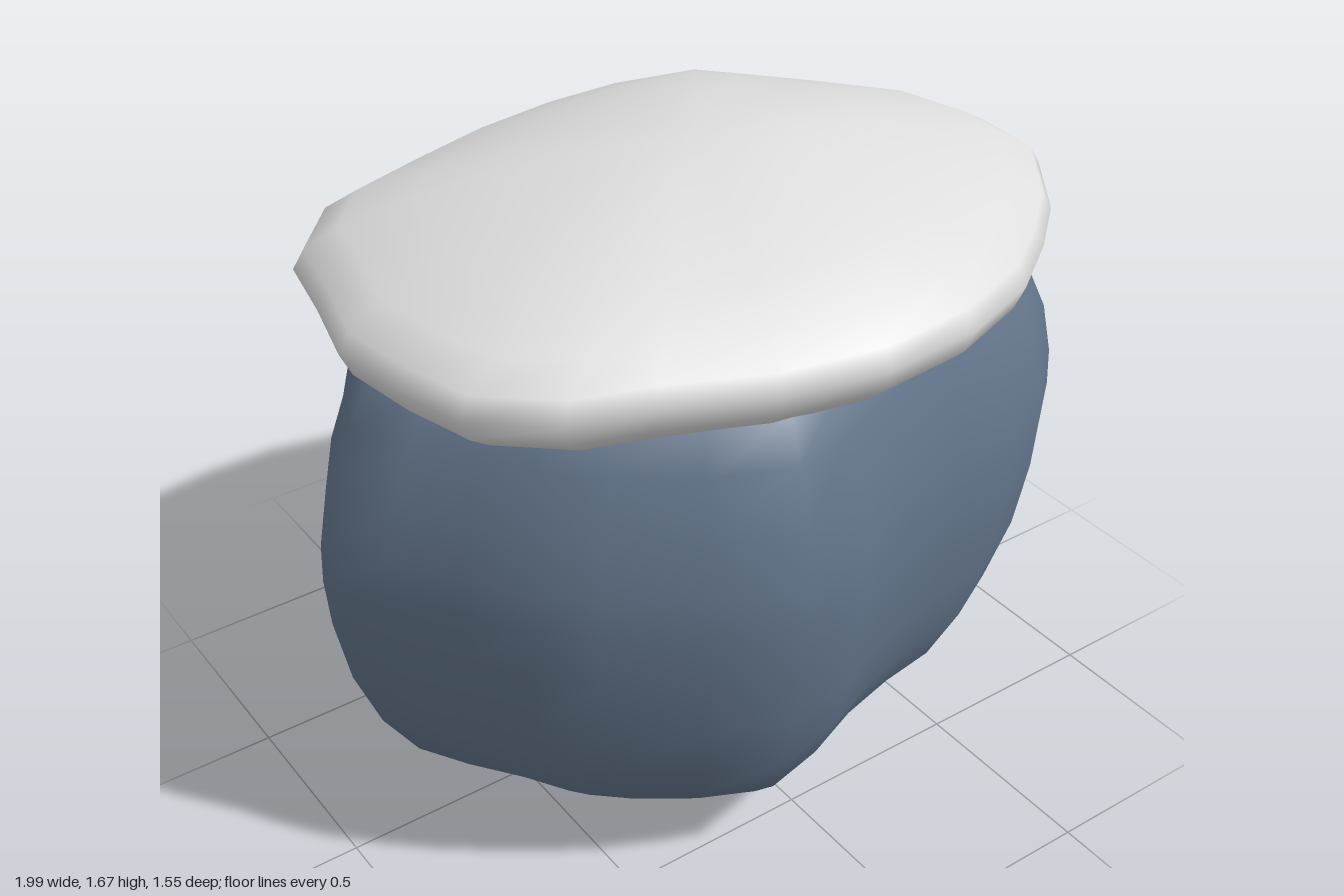
import * as THREE from 'three';

// Closed rounded solid: a plan outline [x, z] scaled by each profile step [scale, y], bottom to top
function loft(outline, profile, centreX) {
  const n = outline.length, last = profile.length - 1;
  const positions = [], index = [];
  const ring = (i) => 1 + (i - 1) * n;

  positions.push(centreX, profile[0][1], 0);
  for (let i = 1; i < last; i++) {
    const [s, y] = profile[i];
    for (const [x, z] of outline) positions.push(centreX + (x - centreX) * s, y, z * s);
  }
  const top = positions.length / 3;
  positions.push(centreX, profile[last][1], 0);

  for (let j = 0; j < n; j++) {
    const k = (j + 1) % n;
    index.push(0, ring(1) + j, ring(1) + k);
    for (let i = 1; i < last - 1; i++) {
      const a = ring(i) + j, b = ring(i) + k, c = ring(i + 1) + j, d = ring(i + 1) + k;
      index.push(a, c, b, b, c, d);
    }
    index.push(ring(last - 1) + j, top, ring(last - 1) + k);
  }
  const geometry = new THREE.BufferGeometry();
  geometry.setAttribute('position', new THREE.Float32BufferAttribute(positions, 3));
  geometry.setIndex(index);
  geometry.computeVertexNormals();
  return geometry;
}

export function createModel() {
  const group = new THREE.Group();
  group.name = 'snowCappedRock';
  const stone = new THREE.MeshStandardMaterial({ name: 'slate blue stone', color: 0x64768c });
  const snow = new THREE.MeshStandardMaterial({ name: 'snow white', color: 0xdedede });

  // Five-lobed boulder
  const rockOutline = [
    [0.88, 0], [0.92, 0.2], [0.945, 0.34], [0.79, 0.47], [0.6, 0.57], [0.4, 0.6], [0.2, 0.65],
    [0, 0.73], [-0.2, 0.775], [-0.4, 0.68], [-0.6, 0.54], [-0.72, 0.43], [-0.8, 0.3], [-0.91, 0.15],
    [-1, 0], [-0.89, -0.19], [-0.78, -0.34], [-0.71, -0.45], [-0.55, -0.6], [-0.39, -0.7],
    [-0.2, -0.78], [0.03, -0.73], [0.2, -0.66], [0.4, -0.63], [0.61, -0.64], [0.8, -0.5],
    [0.91, -0.34], [0.92, -0.2],
  ];
  const rockProfile = [
    [0, 0.01], [0.2, 0], [0.36, 0.015], [0.52, 0.05], [0.67, 0.12], [0.8, 0.23], [0.89, 0.37],
    [0.955, 0.54], [0.99, 0.72], [1, 0.85], [0.995, 0.95], [0.965, 1.09], [0.9, 1.23],
    [0.83, 1.33], [0.7, 1.4], [0.45, 1.45], [0, 1.47],
  ];
  const rock = new THREE.Mesh(loft(rockOutline, rockProfile, 0), stone);
  rock.name = 'rock';
  group.add(rock);

  // Flattened snow cushion resting on the boulder
  const capOutline = [
    [0.99, 0], [0.98, 0.19], [0.83, 0.39], [0.68, 0.52], [0.51, 0.64], [0.28, 0.72], [0.03, 0.74],
    [-0.23, 0.69], [-0.48, 0.58], [-0.66, 0.52], [-0.82, 0.38], [-0.87, 0.2], [-0.9, 0],
    [-0.85, -0.2], [-0.81, -0.4], [-0.67, -0.56], [-0.45, -0.63], [-0.2, -0.7], [0.05, -0.735],
    [0.28, -0.735], [0.53, -0.68], [0.64, -0.56], [0.78, -0.4], [0.94, -0.2],
  ];
  const capProfile = [
    [0, 1.24], [0.4, 1.245], [0.65, 1.26], [0.8, 1.28], [0.9, 1.31], [0.97, 1.36], [1, 1.42],
    [0.97, 1.47], [0.88, 1.52], [0.7, 1.575], [0.5, 1.625], [0.25, 1.665], [0, 1.675],
  ];
  const cap = new THREE.Mesh(loft(capOutline, capProfile, 0.04), snow);
  cap.name = 'snowCap';
  group.add(cap);

  return group;
}
